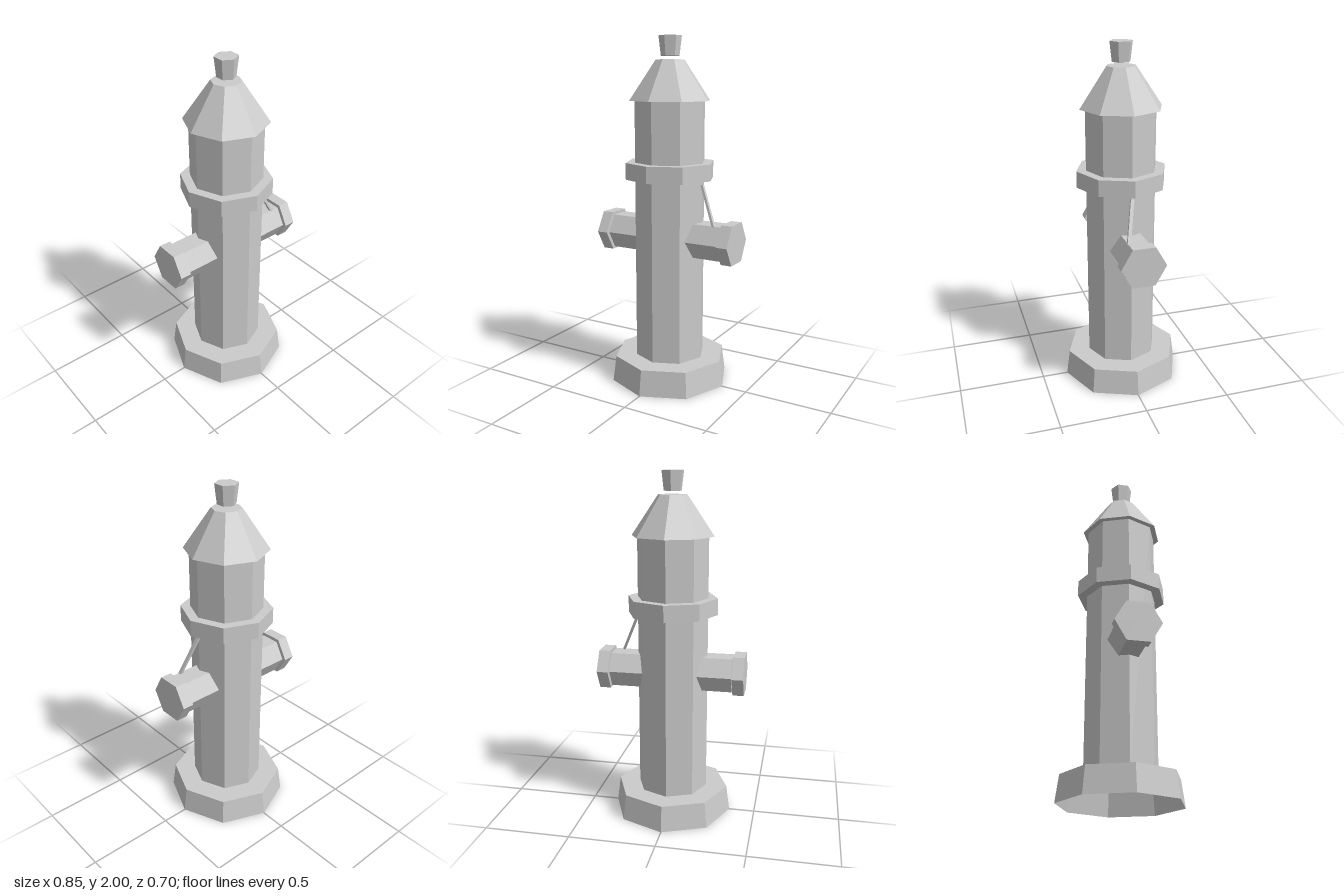
import * as THREE from 'three';

const material = new THREE.MeshStandardMaterial({
  color: 0xcccccc, flatShading: true, side: THREE.DoubleSide,
});

function part(name, geometry) {
  const mesh = new THREE.Mesh(geometry, material);
  mesh.name = name;
  return mesh;
}

// Upright faceted drum between two heights
function drum(name, rTop, rBottom, y0, y1, sides = 8) {
  const geometry = new THREE.CylinderGeometry(rTop, rBottom, y1 - y0, sides);
  return part(name, geometry.translate(0, (y0 + y1) / 2, 0));
}

// Hexagonal drum lying along x, with flats on top and bottom
function sideDrum(name, radius, x0, x1) {
  const geometry = new THREE.CylinderGeometry(radius, radius, x1 - x0, 6);
  geometry.rotateZ(-Math.PI / 2);
  return part(name, geometry.translate((x0 + x1) / 2, 0, 0));
}

export function createModel() {
  const model = new THREE.Group();
  model.name = 'hydrant';

  // Flared foot, hollow from below
  const foot = new THREE.LatheGeometry([
    new THREE.Vector2(0.35, 0),
    new THREE.Vector2(0.33, 0.15),
    new THREE.Vector2(0, 0.15),
  ], 8);
  model.add(part('foot', foot));

  // Barrel, collar, bonnet and top nut
  model.add(
    drum('barrel', 0.205, 0.205, 0.15, 1.65),
    drum('collar', 0.26, 0.26, 1.205, 1.3),
    drum('bonnet', 0.083, 0.236, 1.645, 1.87),
    drum('topNut', 0.065, 0.052, 1.89, 2, 6),
  );

  // Outlets with separate end caps on both sides
  for (const [side, turn] of [['left', 0], ['right', Math.PI]]) {
    const outlet = new THREE.Group();
    outlet.name = side + 'Outlet';
    outlet.add(
      sideDrum('outletPipe', 0.113, 0.1, 0.354),
      sideDrum('outletCap', 0.13, 0.36, 0.425),
    );
    outlet.position.y = 0.866;
    outlet.rotation.y = turn;
    model.add(outlet);
  }

  // Thin stay slanting from the barrel to the left outlet
  const top = new THREE.Vector3(0.208, 1.18, 0);
  const bottom = new THREE.Vector3(0.312, 0.945, 0.052);
  const along = top.clone().sub(bottom);
  const stay = part('stay', new THREE.BoxGeometry(0.014, along.length(), 0.02));
  stay.position.copy(top).add(bottom).multiplyScalar(0.5);
  stay.quaternion.setFromUnitVectors(new THREE.Vector3(0, 1, 0), along.normalize());
  model.add(stay);

  return model;
}
